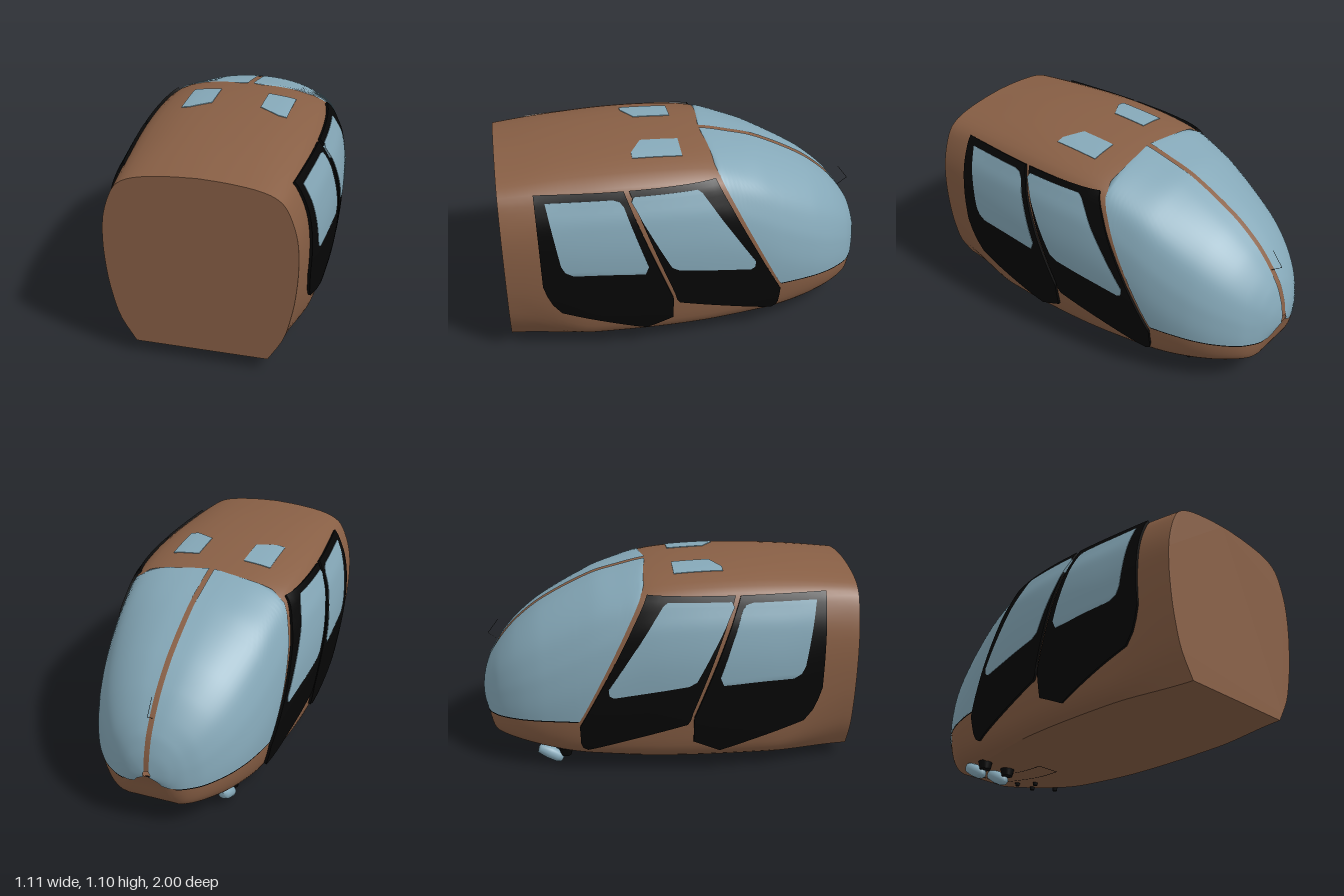
import * as THREE from 'three';
import { toCreasedNormals } from 'three/addons/utils/BufferGeometryUtils.js';

const mat = (name, color) => new THREE.MeshStandardMaterial({ name, color, side: THREE.DoubleSide });

// Smooth interpolation through [x, value] pairs
function interp(tab, x) {
  const n = tab.length - 1;
  let i = 0;
  while (i < n - 1 && x > tab[i + 1][0]) i++;
  const slope = (k) => {
    const a = tab[Math.max(k - 1, 0)], b = tab[Math.min(k + 1, n)];
    return (b[1] - a[1]) / (b[0] - a[0]);
  };
  const [x0, y0] = tab[i], [x1, y1] = tab[i + 1], h = x1 - x0;
  const u = Math.min(Math.max((x - x0) / h, 0), 1), u2 = u * u, u3 = u2 * u;
  return (2 * u3 - 3 * u2 + 1) * y0 + (u3 - 2 * u2 + u) * h * slope(i)
    + (3 * u2 - 2 * u3) * y1 + (u3 - u2) * h * slope(i + 1);
}

// Hull outline along z: half width, roof and belly heights
const WIDTH = [[-1, .02], [-.99, .09], [-.97, .15], [-.95, .195], [-.9, .27], [-.8, .355], [-.7, .41], [-.6, .445],
  [-.5, .47], [-.4, .488], [-.2, .512], [0, .532], [.2, .54], [.5, .532], [.8, .507], [1, .488]];
const ROOF = [[-1, .37], [-.99, .44], [-.97, .51], [-.95, .56], [-.884, .66], [-.8, .755], [-.66, .865], [-.4, 1],
  [-.25, 1.045], [-.1, 1.08], [.1, 1.1], [.4, 1.107], [.7, 1.095], [1, 1.067]];
const BELLY = [[-1, .34], [-.975, .27], [-.96, .21], [-.94, .165], [-.9, .15], [-.75, .125], [-.5, .09], [-.3, .085], [1, .085]];

// Normalised half sections, roof centre to belly corner
const MID = [[0, 1], [.27, .995], [.55, .974], [.8, .92], [.91, .815], [.965, .72], [1, .55], [.98, .31], [.925, .11], [.86, .035], [.78, 0]];
const REAR = [[0, 1], [.3, .992], [.61, .97], [.8, .93], [.9, .86], [.98, .73], [1, .58], [.98, .42], [.94, .29], [.86, .14], [.7, 0]];
const NOSE = [[0, 1], [.3, .978], [.58, .905], [.8, .785], [.93, .62], [.98, .48], [1, .34], [.98, .21], [.91, .1], [.79, .03], [.63, 0]];
const tables = [MID, REAR, NOSE].map((p) => [0, 1].map((c) => p.map((q, i) => [i / 10, q[c]])));

// Point on the hull, t = 0 roof centre to 1 belly corner
function hull(z, t) {
  const r = THREE.MathUtils.smoothstep(z, .55, 1), n = 1 - THREE.MathUtils.smoothstep(z, -.85, -.05);
  const [u, v] = [0, 1].map((c) => (1 - r - n) * interp(tables[0][c], t)
    + r * interp(tables[1][c], t) + n * interp(tables[2][c], t));
  const b = interp(BELLY, z);
  return new THREE.Vector3(u * interp(WIDTH, z), b + v * (interp(ROOF, z) - b), z);
}

// Hull point pushed outward by d
function raised(z, t, d) {
  const e = .004, p = hull(z, t);
  const dz = hull(Math.min(z + e, 1), t).sub(hull(Math.max(z - e, -1), t));
  const dt = hull(z, Math.min(t + e, 1)).sub(hull(z, Math.max(t - e, 0)));
  const n = dz.cross(dt).normalize();
  const mid = (interp(ROOF, z) + interp(BELLY, z)) / 2;
  if (n.x * p.x + n.y * (p.y - mid) < 0) n.negate();
  return p.addScaledVector(n, d);
}

function bisect(test, lo, hi) {
  for (let i = 0; i < 24; i++) {
    const m = (lo + hi) / 2;
    if (test(m)) lo = m; else hi = m;
  }
  return (lo + hi) / 2;
}
const tAtY = (z, y) => bisect((t) => hull(z, t).y > y, 0, 1);
const tAtX = (z, x) => bisect((t) => hull(z, t).x < x, 0, .5);

// Surface from a grid of points
function gridGeometry(rows, cols, point) {
  const pos = [], idx = [];
  for (let i = 0; i <= rows; i++) for (let j = 0; j <= cols; j++) {
    const p = point(i, j);
    pos.push(p.x, p.y, p.z);
    if (i < rows && j < cols) {
      const a = i * (cols + 1) + j, b = a + cols + 1;
      idx.push(a, a + 1, b, b, a + 1, b + 1);
    }
  }
  const g = new THREE.BufferGeometry();
  g.setAttribute('position', new THREE.Float32BufferAttribute(pos, 3));
  g.setIndex(idx);
  g.computeVertexNormals();
  return g;
}

// Convex outline (a, b) draped on the hull, with a turned-down rim
function plate(poly, side, lift, place) {
  const levels = [...new Set(poly.map((p) => p[1]))].sort((p, q) => p - q);
  const bs = [levels[0]];
  for (let i = 1; i < levels.length; i++) {
    const n = Math.ceil((levels[i] - levels[i - 1]) / .025);
    for (let k = 1; k <= n; k++) bs.push(k === n ? levels[i] : levels[i - 1] + (levels[i] - levels[i - 1]) * k / n);
  }
  const span = bs.map((b) => {
    const hits = [];
    poly.forEach((p, i) => {
      const q = poly[(i + 1) % poly.length];
      if (p[1] === b) hits.push(p[0]);
      if ((p[1] - b) * (q[1] - b) < 0) hits.push(p[0] + (q[0] - p[0]) * (b - p[1]) / (q[1] - p[1]));
    });
    return [Math.min(...hits), Math.max(...hits)];
  });
  const cols = 14, last = bs.length - 1;
  const g = gridGeometry(last + 2, cols + 2, (i, j) => {
    const r = Math.min(Math.max(i - 1, 0), last), c = Math.min(Math.max(j - 1, 0), cols);
    const rim = i === 0 || i === last + 2 || j === 0 || j === cols + 2;
    const a = span[r][0] + (span[r][1] - span[r][0]) * c / cols;
    const p = place(a, bs[r], rim ? -.004 : lift);
    p.x *= side;
    return p;
  });
  return toCreasedNormals(g, .7);
}
const onSide = (z, y, d) => raised(z, tAtY(z, y), d);
const onRoof = (x, z, d) => raised(z, tAtX(z, x), d);

// Door and window outlines as (z, y); roof window as (x, z)
const REAR_DOOR = [[.82, 1.001], [.81, .5], [.79, .43], [.765, .37], [.72, .31], [.273, .15], [.13, .214], [.13, .355], [.37, 1.001]];
const FRONT_DOOR = [[.343, 1.001], [.123, .39], [.112, .345], [.096, .32], [-.43, .155], [-.455, .17], [-.466, .2], [-.47, .3], [-.107, 1.001]];
const REAR_GLASS = [[.766, .967], [.71, .63], [.69, .59], [.65, .567], [.28, .546], [.262, .59], [.375, .93], [.395, .957], [.43, .967]];
const FRONT_GLASS = [[.32, .973], [.335, .95], [.166, .62], [.14, .57], [.1, .546], [-.29, .478], [-.312, .49], [-.316, .525], [-.03, .955], [-.005, .973]];
const ROOF_GLASS = [[.13, .04], [.28, .04], [.28, .3], [.235, .3], [.13, .24]];

// Lower and rear edge of the windshield
const sill = (z) => z > -.47 ? .33 + (z + .47) * 2.01 : .33 - .05 * ((-.47 - z) / .5) ** 2;

export function createModel() {
  const paint = mat('brownPaint', 0x885f45), black = mat('blackTrim', 0x060606), glass = mat('blueGlass', 0x85a8b8);
  const model = new THREE.Group();
  const add = (name, geo, material, parent = model) => {
    const m = new THREE.Mesh(geo, material);
    m.name = name;
    parent.add(m);
    return m;
  };

  // Cabin shell, flat belly and end bulkhead
  const N = 72, zAt = (i) => -1 + 2 * (i / N) ** 1.9;
  add('cabinShell', gridGeometry(N, 64, (i, j) => {
    const t = j / 32 - 1, p = hull(zAt(i), Math.abs(t));
    if (t < 0) p.x *= -1;
    return p;
  }), paint);
  add('belly', gridGeometry(N, 1, (i, j) => {
    const p = hull(zAt(i), 1);
    if (j) p.x *= -1;
    return p;
  }), paint);
  const rim = [];
  for (let j = -32; j <= 32; j++) {
    const p = hull(1, Math.abs(j) / 32);
    rim.push(new THREE.Vector2(Math.sign(j) * p.x, p.y));
  }
  add('bulkhead', new THREE.ShapeGeometry(new THREE.Shape(rim)), paint).position.z = 1;

  for (const s of [1, -1]) {
    const side = s > 0 ? 'left' : 'right';
    // Windshield half, leaving the centre post bare
    add(side + 'Windshield', gridGeometry(56, 28, (i, j) => {
      const z = -1 + .904 * (i / 56) ** 1.6;
      const t0 = tAtX(z, .014), t1 = Math.max(t0, tAtY(z, sill(z)));
      const p = raised(z, t0 + (t1 - t0) * j / 28, .005);
      p.x = Math.max(p.x, .013) * s;
      return p;
    }), glass);
    // Dark seal under the windshield
    add(side + 'WindshieldSeal', gridGeometry(32, 1, (i, j) => {
      const z = -.968 + .49 * (i / 32) ** 1.4;
      const p = raised(z, tAtY(z, sill(z) - .007 * j), .004);
      p.x *= s;
      return p;
    }), black);
    // Doors and their windows
    add(side + 'RearDoor', plate(REAR_DOOR, s, .014, onSide), black);
    add(side + 'FrontDoor', plate(FRONT_DOOR, s, .014, onSide), black);
    add(side + 'RearDoorWindow', plate(REAR_GLASS, s, .0165, onSide), glass);
    add(side + 'FrontDoorWindow', plate(FRONT_GLASS, s, .0165, onSide), glass);
    add(side + 'RoofWindow', plate(ROOF_GLASS, s, .0035, onRoof), glass);
  }

  // Landing lamps under the nose
  const bowl = [[0, 0], [.024, .003], [.033, .03], [.036, .08], [.03, .14], [0, .15]].map((p) => new THREE.Vector2(...p));
  for (const x of [-.295, -.133]) {
    const lamp = new THREE.Group();
    lamp.name = 'landingLamp';
    lamp.position.set(x, .03, -.57);
    add('lampBody', new THREE.LatheGeometry(bowl, 16), glass, lamp).rotation.x = -1.05;
    add('lampMount', new THREE.CylinderGeometry(.04, .03, .045, 14), black, lamp).position.set(0, .046, .018);
    model.add(lamp);
  }

  // Hatch outline on the belly
  const strips = [[-.07, -.064, -.85, -.35], [.064, .07, -.85, -.35], [-.07, .07, -.356, -.35], [-.07, .07, -.85, -.844]];
  for (const [x0, x1, z0, z1] of strips) {
    add('hatchSeam', gridGeometry(20, 1, (i, j) => {
      const z = z0 + (z1 - z0) * i / 20;
      return new THREE.Vector3(j ? x1 : x0, interp(BELLY, z) - .003, z);
    }), black);
  }

  // Small belly fittings
  for (const [x, z] of [[.155, -.63], [.3, -.615], [.23, -.74], [.12, -.75], [0, -.82]]) {
    add('bellyFitting', new THREE.CylinderGeometry(.016, .012, .024, 8), black).position.set(x, interp(BELLY, z) - .006, z);
  }

  // Thin bent probe on the centre post
  const probe = [[-.895, .62], [-.965, .67], [-.905, .75]].map(([z, y]) => new THREE.Vector3(0, y, z));
  for (let i = 0; i < 2; i++) {
    add('probe', new THREE.TubeGeometry(new THREE.LineCurve3(probe[i], probe[i + 1]), 1, .0012, 5), black);
  }
  return model;
}
